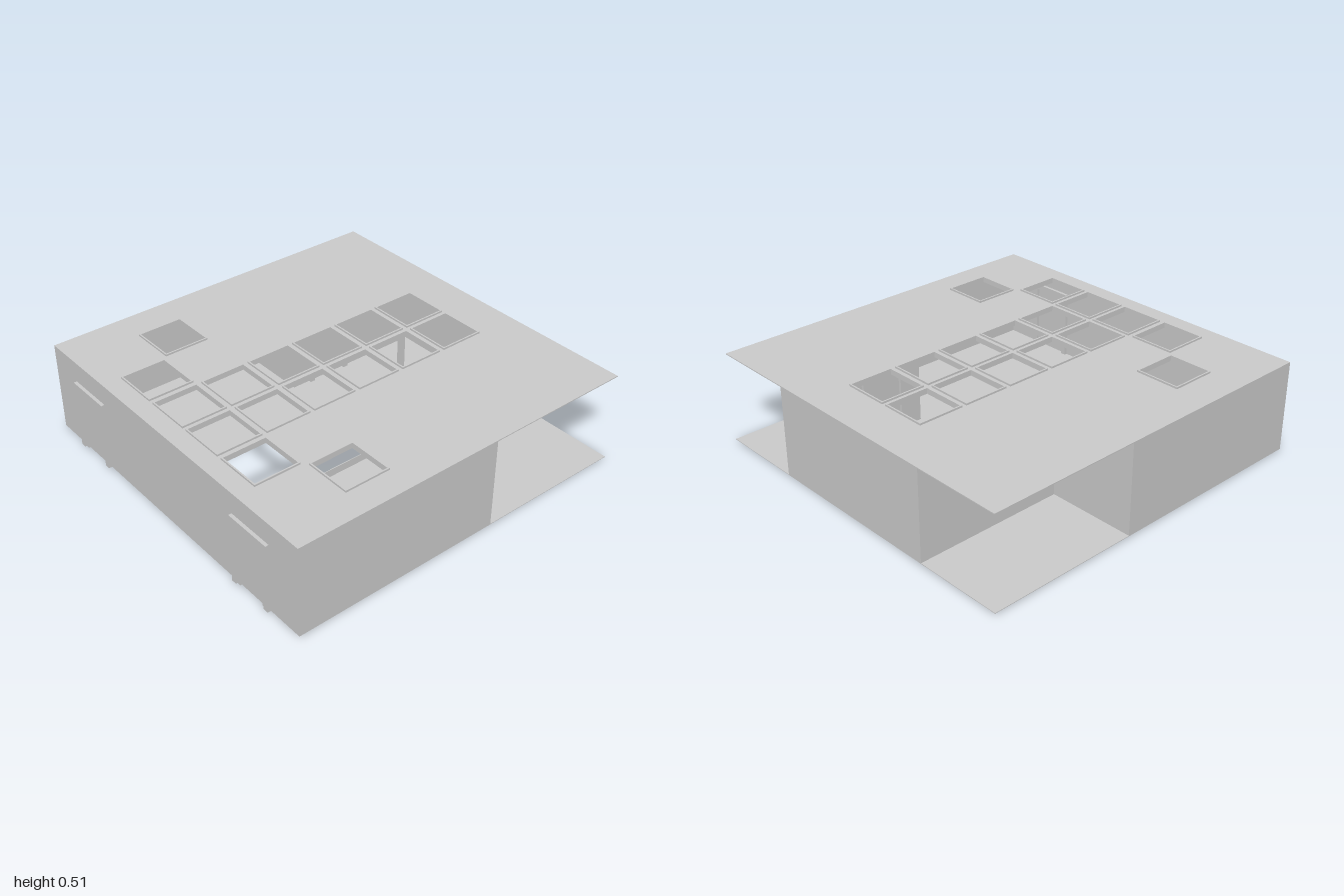
import * as THREE from 'three';

const material = new THREE.MeshStandardMaterial({ color: 0xcccccc, flatShading: true, side: THREE.DoubleSide });
const X0 = -0.98, X1 = 0.997, Z = 0.992, FLOOR = 0.01, ROOF = 0.505;
const NOTCH_X = 0.17, NOTCH_Z = 0.51, T = 0.008;

// Box given by its minimum and maximum corners
function box(parent, name, x0, x1, y0, y1, z0, z1) {
  const mesh = new THREE.Mesh(new THREE.BoxGeometry(x1 - x0, y1 - y0, z1 - z0), material);
  mesh.position.set((x0 + x1) / 2, (y0 + y1) / 2, (z0 + z1) / 2);
  mesh.name = name;
  parent.add(mesh);
  return mesh;
}

function rectangle(Type, x0, x1, z0, z1) {
  return new Type([[x0, z0], [x1, z0], [x1, z1], [x0, z1]].map(([x, z]) => new THREE.Vector2(x, -z)));
}

// Horizontal slab made from a shape drawn in x and -z
function slab(parent, name, shape, y, depth) {
  const geometry = new THREE.ExtrudeGeometry(shape, { depth, bevelEnabled: false });
  geometry.rotateX(-Math.PI / 2);
  const mesh = new THREE.Mesh(geometry, material);
  mesh.position.y = y;
  mesh.name = name;
  parent.add(mesh);
}

// Two posts and a lintel around a doorway; along is the axis the wall runs on
function doorFrame(parent, name, along, across0, across1, center, width, height) {
  const part = (n, a0, a1, y0, y1) => along === 'z'
    ? box(parent, n, across0, across1, y0, y1, a0, a1)
    : box(parent, n, a0, a1, y0, y1, across0, across1);
  const h = width / 2, post = 0.03;
  part(name + 'Post', center - h, center - h + post, FLOOR, height);
  part(name + 'Post', center + h - post, center + h, FLOOR, height);
  part(name + 'Lintel', center - h + post, center + h - post, height - post, height);
}

export function createModel() {
  const model = new THREE.Group();
  model.name = 'building';

  // Skylight openings: two long rows and two staggered pairs
  const size = 0.235;
  const lights = [];
  for (let i = 0; i < 6; i++) {
    const x = -0.87 + i * 0.277;
    lights.push([x, -0.232], [x, 0.043]);
  }
  lights.push([-0.87, -0.512], [-0.87, 0.32], [-0.593, -0.79], [-0.593, 0.598]);

  // Roof
  const roofShape = rectangle(THREE.Shape, X0, X1, -Z, Z);
  for (const [x, z] of lights) roofShape.holes.push(rectangle(THREE.Path, x, x + size, z, z + size));
  slab(model, 'roof', roofShape, ROOF - 0.005, 0.005);

  // Raised skylight rims
  const rims = new THREE.Group();
  rims.name = 'skylightRims';
  model.add(rims);
  const e = 0.008;
  for (const [x, z] of lights) {
    const rim = rectangle(THREE.Shape, x - e, x + size + e, z - e, z + size + e);
    rim.holes.push(rectangle(THREE.Path, x, x + size, z, z + size));
    slab(rims, 'skylightRim', rim, ROOF - 0.02, 0.03);
  }

  // Mirrored front and back halves: floor, outer walls, entrances
  for (const s of [1, -1]) {
    const side = s > 0 ? 'front' : 'back';
    const zBox = (name, x0, x1, y0, y1, a, b) =>
      box(model, name, x0, x1, y0, y1, Math.min(s * a, s * b), Math.max(s * a, s * b));
    zBox(side + 'Floor', X0, X1, FLOOR, FLOOR + 0.003, 0.23, Z);
    zBox(side + 'FloorCurb', X0, X1, FLOOR, FLOOR + 0.045, 0.23, 0.234);
    zBox(side + 'Wall', X0, NOTCH_X, FLOOR, ROOF - 0.004, Z - T, Z);
    zBox(side + 'NotchReturn', NOTCH_X - T, NOTCH_X, FLOOR, ROOF - 0.004, NOTCH_Z - T, Z);
    zBox(side + 'NotchWall', NOTCH_X - T, X1, FLOOR, ROOF - 0.004, NOTCH_Z - T, NOTCH_Z);
    doorFrame(model, side + 'Entrance', 'z', X0 - 0.018, X0 + 0.002, s * 0.66, 0.265, 0.39);
    // Slimmer inner trim and the door leaf
    doorFrame(model, side + 'EntranceTrim', 'z', X0 - 0.009, X0 + 0.002, s * 0.66, 0.225, 0.37);
    doorFrame(model, side + 'InnerEntrance', 'z', X0 + T, X0 + 0.024, s * 0.66, 0.265, 0.39);
    // Doorway trim on the room side of the recessed wall
    const z = s * (NOTCH_Z - T);
    doorFrame(model, side + 'RoomDoor', 'x', Math.min(z, z - s * 0.016), Math.max(z, z - s * 0.016), 0.4, 0.265, 0.39);
  }
  box(model, 'leftEndWall', X1 - T, X1, FLOOR, ROOF - 0.004, -NOTCH_Z, NOTCH_Z);
  box(model, 'rightEndWall', X0, X0 + T, FLOOR, ROOF - 0.004, -Z, Z);

  // Narrow post beside the opening, and small feet under the floor
  box(model, 'post', 0.677, 0.69, FLOOR, 0.3, -0.235, -0.19);
  for (const [x, z] of [[0.05, 0.5], [0.72, 0.37]]) {
    box(model, 'foot', x - 0.008, x + 0.008, 0, FLOOR + 0.002, z - 0.006, z + 0.006);
  }
  return model;
}
